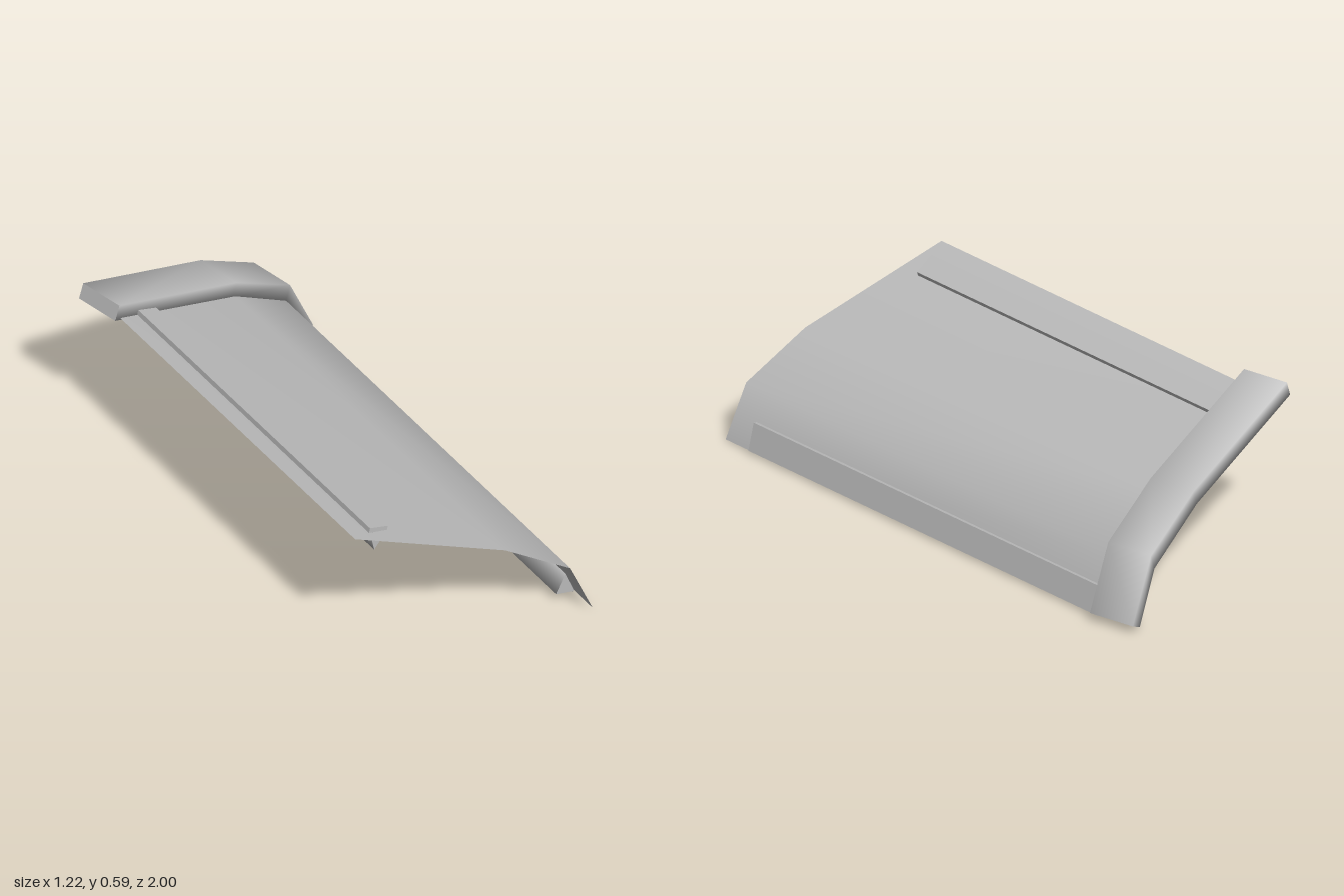
import * as THREE from 'three';

// Skin a list of cross-section rings; closed rings are capped at both ends
function loft(rings, closed, smooth) {
  const n = rings[0].length, pos = [], idx = [];
  rings.forEach(r => r.forEach(p => pos.push(...p)));
  for (let i = 0; i < rings.length - 1; i++) {
    for (let j = 0; j < (closed ? n : n - 1); j++) {
      const k = (j + 1) % n, a = i * n + j, d = i * n + k;
      idx.push(a, d, a + n, d, d + n, a + n);
    }
  }
  if (closed) {
    [rings[0], rings[rings.length - 1]].forEach((ring, end) => {
      const o = pos.length / 3;
      ring.forEach(p => pos.push(...p));
      for (let k = 1; k < n - 1; k++) {
        if (end) idx.push(o, o + k, o + k + 1);
        else idx.push(o, o + k + 1, o + k);
      }
    });
  }
  let g = new THREE.BufferGeometry();
  g.setAttribute('position', new THREE.Float32BufferAttribute(pos, 3));
  g.setIndex(idx);
  if (!smooth) g = g.toNonIndexed();
  g.computeVertexNormals();
  return g;
}

const BACK = -0.82;
const SWEEP = 0.202; // sideways drift per unit of length

// Run a front section straight back along the swept direction
function sweptBack(section, zFront) {
  const dx = (zFront - BACK) * SWEEP;
  return [section.map(([x, y]) => [x, y, zFront]), section.map(([x, y]) => [x + dx, y, BACK])];
}

export function createModel() {
  const model = new THREE.Group();
  const grey = new THREE.MeshStandardMaterial({ color: 0xbbbbbb, side: THREE.DoubleSide });
  grey.name = 'lightGrey';
  const add = (name, geometry) => {
    const mesh = new THREE.Mesh(geometry, grey);
    mesh.name = name;
    model.add(mesh);
  };

  // Curved panel with a slanted front edge
  const front = [[-0.61, 0.535, 0.66], [-0.105, 0.345, 0.88], [0.12, 0.2, 0.97], [0.2, 0.005, 1]];
  const back = front.map(([x, y, z]) => [x + (z - BACK) * SWEEP, y, BACK]);
  add('curvedPanel', loft([front, back], false, true));

  // Rear beam following the panel's profile
  const inner = [[-0.335, 0.535], [0.225, 0.345], [0.48, 0.2], [0.568, 0.01]];
  const outer = [[-0.315, 0.59], [0.245, 0.4], [0.5, 0.258], [0.61, 0.03]];
  const rings = inner.map(([x, y], i) => {
    const [u, v] = outer[i];
    return [[u, v, -1], [u, v, BACK], [x, y, BACK], [x, y, -1]];
  });
  add('rearBeam', loft(rings, true, true));

  // Raised strips on the panel, each with a triangular rail beneath
  const upperStrip = [[-0.52, 0.525], [-0.435, 0.492], [-0.44, 0.477], [-0.525, 0.508]];
  const lowerStrip = [[0.203, 0.105], [0.235, 0.01], [0.22, 0], [0.185, 0.1]];
  add('upperStrip', loft(sweptBack(upperStrip, 0.64), true, false));
  add('lowerStrip', loft(sweptBack(lowerStrip, 0.88), true, false));
  add('upperRail', loft(sweptBack([[-0.52, 0.506], [-0.44, 0.476], [-0.5, 0.423]], 0.64), true, true));
  add('lowerRail', loft(sweptBack([[0.187, 0.098], [0.22, 0.002], [0.14, 0.03]], 0.88), true, true));

  return model;
}
